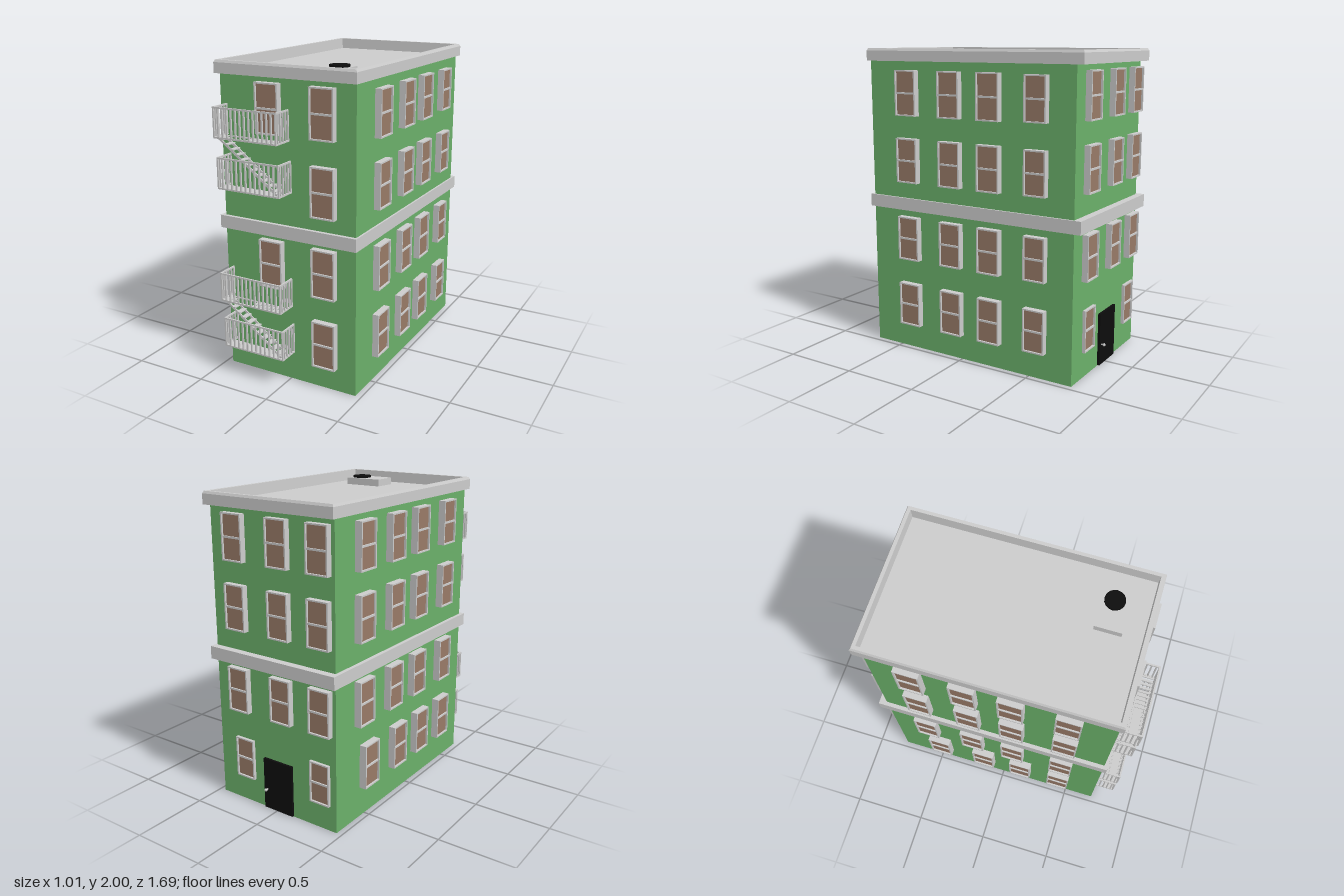
import * as THREE from 'three';

const mat = (color) => new THREE.MeshStandardMaterial({ color, flatShading: true });
const grey = mat(0xcccccc), green = mat(0x6bb06a), brown = mat(0x987a67), black = mat(0x0d0d0d);

function mesh(parent, name, geo, material, x = 0, y = 0, z = 0) {
  const m = new THREE.Mesh(geo, material);
  m.name = name;
  m.position.set(x, y, z);
  parent.add(m);
  return m;
}

// Box given by its extents on each axis
function span(parent, name, material, x0, x1, y0, y1, z0, z1) {
  const geo = new THREE.BoxGeometry(x1 - x0, y1 - y0, z1 - z0);
  return mesh(parent, name, geo, material, (x0 + x1) / 2, (y0 + y1) / 2, (z0 + z1) / 2);
}

// Rectangular moulding: a profile of [inset, y] points swept round a rectangle
function rectSweep(x0, x1, z0, z1, profile) {
  const pos = [];
  const ring = ([i, y]) => [[x0 + i, y, z1 - i], [x1 - i, y, z1 - i], [x1 - i, y, z0 + i], [x0 + i, y, z0 + i]];
  for (let p = 0; p < profile.length - 1; p++) {
    const a = ring(profile[p]), b = ring(profile[p + 1]);
    for (let k = 0; k < 4; k++) {
      const n = (k + 1) % 4;
      pos.push(...a[k], ...a[n], ...b[n], ...a[k], ...b[n], ...b[k]);
    }
  }
  const geo = new THREE.BufferGeometry();
  geo.setAttribute('position', new THREE.Float32BufferAttribute(pos, 3));
  geo.computeVertexNormals();
  return geo;
}

// Sash window on a wall at z = 0, facing +z
function makeWindow(w, h, depth) {
  const g = new THREE.Group();
  g.name = 'window';
  const rect = (C, a, b) => new C([[-a, -b], [a, -b], [a, b], [-a, b]].map((p) => new THREE.Vector2(...p)));
  const shape = rect(THREE.Shape, w / 2, h / 2);
  shape.holes.push(rect(THREE.Path, w / 2 - 0.009, h / 2 - 0.009));
  mesh(g, 'windowFrame', new THREE.ExtrudeGeometry(shape, { depth, bevelEnabled: false }), grey);
  span(g, 'windowPane', brown, -w / 2 + 0.005, w / 2 - 0.005, -h / 2 + 0.005, h / 2 - 0.005, 0, depth - 0.012);
  span(g, 'windowBar', grey, -w / 2 + 0.005, w / 2 - 0.005, -0.006, 0.006, 0, depth - 0.003);
  return g;
}

const WALLS = {
  front: { angle: 0, at: (u) => [u, 0.706] },
  back: { angle: Math.PI, at: (u) => [u, -0.796] },
  left: { angle: Math.PI / 2, at: (u) => [0.462, u] },
  right: { angle: -Math.PI / 2, at: (u) => [-0.462, u] },
};

// u is the window centre along the wall
function addWindow(parent, wall, u, y0, y1, w = 0.16, depth = 0.042) {
  const win = makeWindow(w, y1 - y0, depth);
  const [x, z] = WALLS[wall].at(u);
  win.position.set(x, (y0 + y1) / 2, z);
  win.rotation.y = WALLS[wall].angle;
  win.name = wall + 'Window';
  parent.add(win);
}

// Railing round the front and both ends of a balcony
function addRailing(parent, x0, x1, y0, y1, zBack, zFront, count) {
  const t = 0.01;
  for (const y of [y0, y1 - t]) {
    span(parent, 'frontRail', grey, x0, x1, y, y + t, zFront - t, zFront);
    for (const x of [x0, x1 - t]) span(parent, 'sideRail', grey, x, x + t, y, y + t, zBack, zFront);
  }
  for (let i = 0; i <= count; i++) {
    const x = x0 + (x1 - x0 - t) * i / count;
    span(parent, 'frontBaluster', grey, x, x + t, y0, y1, zFront - t, zFront);
  }
  const sides = Math.round((zFront - zBack) / 0.026);
  for (let i = 0; i < sides; i++) {
    const z = zBack + (zFront - zBack) * i / sides;
    for (const x of [x0, x1 - t]) span(parent, 'sideBaluster', grey, x, x + t, y0, y1, z, z + 0.008);
  }
}

// Two balconies joined by a stair; local y = 0 is the lower floor
function makeFireEscape() {
  const g = new THREE.Group();
  g.name = 'fireEscape';
  const wall = 0.706, front = 0.845;
  addRailing(g, -0.41, 0.03, 0, 0.198, wall, front, 13);
  addRailing(g, -0.425, 0.02, 0.312, 0.502, wall, front, 14);
  span(g, 'lowerFloor', grey, -0.41, 0.03, 0, 0.008, 0.76, front);
  // Slatted upper floor, left open over the stair
  for (let i = 0; i < 9; i++) {
    const x = -0.2 + i * 0.025;
    span(g, 'upperFloorSlat', grey, x, x + 0.014, 0.312, 0.32, 0.755, front);
  }
  span(g, 'upperLanding', grey, -0.425, -0.37, 0.312, 0.32, 0.755, front);
  span(g, 'upperFloorBearer', grey, -0.425, 0.02, 0.312, 0.32, 0.755, 0.763);
  // Stair
  const a = new THREE.Vector2(-0.395, 0.315), b = new THREE.Vector2(0.005, 0.015);
  const d = b.clone().sub(a);
  for (const z of [0.77, 0.83]) {
    const s = mesh(g, 'stairStringer', new THREE.BoxGeometry(d.length(), 0.014, 0.007), grey,
      (a.x + b.x) / 2, (a.y + b.y) / 2, z);
    s.rotation.z = Math.atan2(d.y, d.x);
  }
  for (let i = 0; i < 11; i++) {
    const p = a.clone().addScaledVector(d, (i + 0.5) / 11);
    mesh(g, 'stairTread', new THREE.BoxGeometry(0.034, 0.006, 0.07), grey, p.x, p.y + 0.006, 0.8);
  }
  return g;
}

export function createModel() {
  const g = new THREE.Group();
  g.name = 'apartmentBuilding';

  // Walls and horizontal mouldings
  span(g, 'walls', green, -0.462, 0.462, 0, 1.922, -0.796, 0.706);
  span(g, 'middleCornice', grey, -0.488, 0.475, 0.95, 1.032, -0.845, 0.73);
  const profile = [[0.06, 1.92], [0, 1.92], [0, 1.985], [0.008, 2], [0.03, 2], [0.034, 1.925]];
  mesh(g, 'roofParapet', rectSweep(-0.488, 0.475, -0.845, 0.73, profile), grey);
  span(g, 'roofDeck', grey, -0.456, 0.443, 1.921, 1.929, -0.813, 0.698);

  // Roof vent
  span(g, 'ventBase', grey, 0.05, 0.31, 1.925, 1.975, 0.41, 0.575);
  mesh(g, 'ventOpening', new THREE.CylinderGeometry(0.062, 0.062, 0.016, 16), black, 0.235, 1.98, 0.485);

  // Front windows
  for (const [y0, y1] of [[1.585, 1.89], [0.615, 0.925]]) addWindow(g, 'front', -0.112, y0, y1);
  for (const [y0, y1] of [[1.585, 1.89], [1.12, 1.43], [0.615, 0.925], [0.15, 0.455]])
    addWindow(g, 'front', 0.256, y0, y1);

  // Left side windows
  for (const y of [1.575, 1.14, 0.62, 0.165]) {
    for (const z of [0.4, 0.068, -0.22]) addWindow(g, 'left', z, y, y + 0.29);
    addWindow(g, 'left', -0.548, y + 0.008, y + 0.285, 0.148);
  }

  // Right side windows; the ground floor columns are slightly offset
  [1.59, 1.165, 0.635, 0.2].forEach((y, row) => {
    const cols = row < 3 ? [-0.53, -0.203, 0.085, 0.428] : [-0.473, -0.14, 0.14, 0.428];
    for (const z of cols) addWindow(g, 'right', z, y, y + 0.29, 0.155, 0.047);
  });

  // Back windows
  for (const y of [1.595, 1.165, 0.63])
    for (const x of [0.27, -0.066, -0.36]) addWindow(g, 'back', x, y, y + 0.29, 0.155, 0.039);
  for (const x of [0.25, -0.345]) addWindow(g, 'back', x, 0.168, 0.44, 0.145, 0.02);

  // Back door with knob
  span(g, 'door', black, -0.13, 0.095, 0.005, 0.35, -0.812, -0.79);
  const stem = mesh(g, 'doorKnobStem', new THREE.CylinderGeometry(0.005, 0.005, 0.025, 8), grey, 0.068, 0.14, -0.82);
  stem.rotation.x = Math.PI / 2;
  mesh(g, 'doorKnob', new THREE.SphereGeometry(0.01, 10, 8), grey, 0.068, 0.14, -0.83);

  // Fire escapes on both halves of the front
  for (const y of [0.19, 1.24]) {
    const f = makeFireEscape();
    f.position.y = y;
    g.add(f);
  }
  return g;
}
